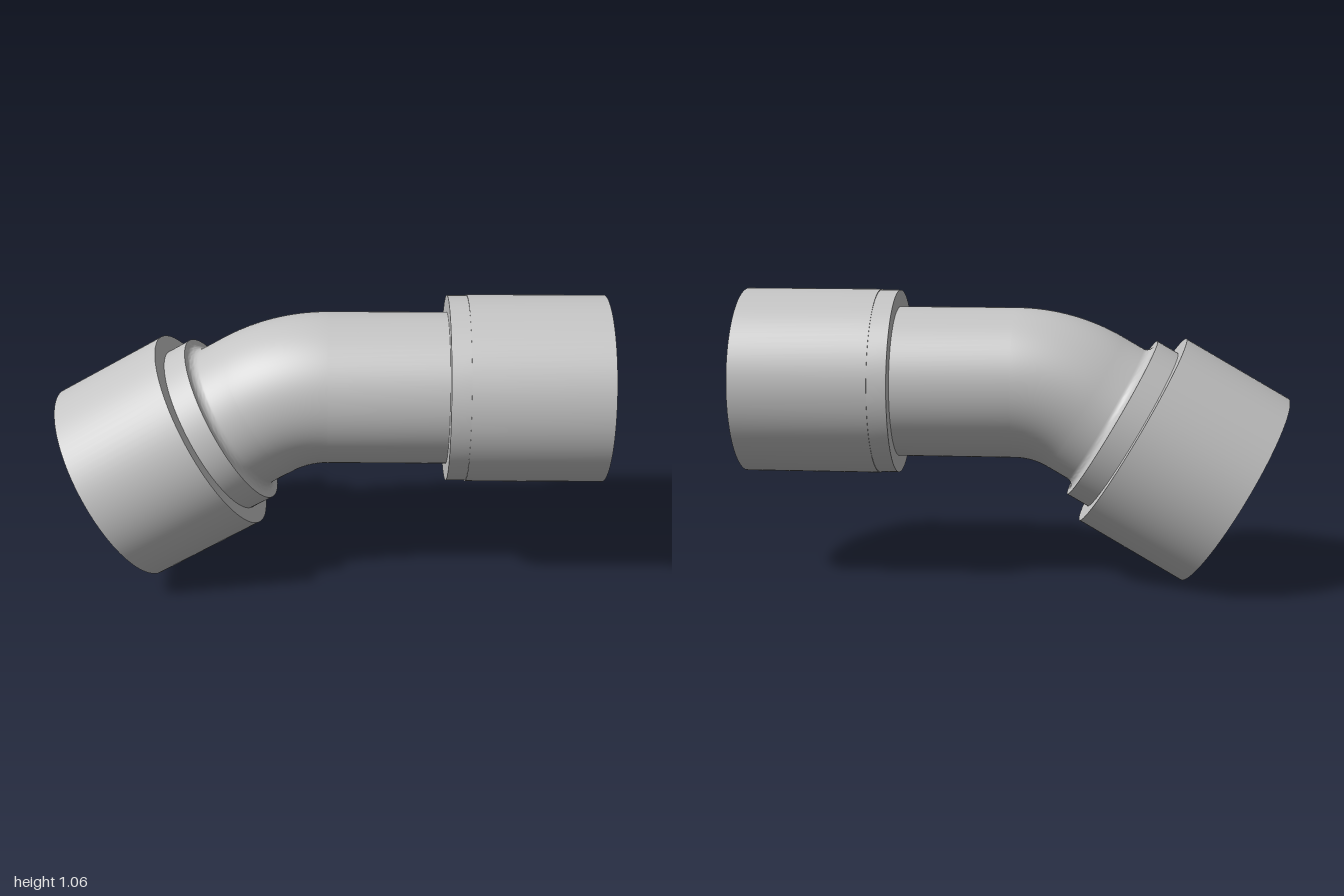
import * as THREE from 'three';
import { toCreasedNormals } from 'three/addons/utils/BufferGeometryUtils.js';

const AXIS_Y = 0.724;   // height of the straight pipe's axis
const BEND_R = 0.51;    // centreline radius of the elbow
const BEND = Math.PI / 6;
const PIPE_R = 0.277;
const BORE_R = 0.228;
const SIDES = 96;

export function createModel() {
  const model = new THREE.Group();
  const plastic = new THREE.MeshStandardMaterial({ color: 0xc4c4c4, side: THREE.DoubleSide });
  plastic.name = 'light grey plastic';

  const add = (name, geometry, x, y, turn) => {
    const mesh = new THREE.Mesh(geometry, plastic);
    mesh.name = name;
    mesh.position.set(x, y, 0);
    mesh.rotation.z = turn;
    model.add(mesh);
  };

  // Turned part from [radius, distance along axis] pairs, with sharp edges kept
  const turned = (profile) => toCreasedNormals(
    new THREE.LatheGeometry(profile.map(([r, h]) => new THREE.Vector2(r, h)), SIDES), 0.5);

  // Straight pipe with a grooved end sleeve around the drafted inner tube
  add('straightPipeAndSleeve', turned([
    [PIPE_R, 0], [PIPE_R, 0.43],
    [0.338, 0.43], [0.338, 0.5], [0.341, 0.5], [0.341, 1],
    [0.322, 1], [0.297, 0.5], [0.275, 0.5], [0.26, 1],
    [BORE_R, 1], [BORE_R, 0],
  ]), 0, AXIS_Y, -Math.PI / 2);

  // Elbow: outer skin and bore
  for (const [name, radius] of [['elbow', PIPE_R], ['elbowBore', BORE_R]]) {
    add(name, new THREE.TorusGeometry(BEND_R, radius, SIDES, 24, BEND),
      0, AXIS_Y - BEND_R, Math.PI / 2);
  }

  // Rounded fillet where the pipe meets the socket collar
  const collarEnd = 0.521;
  const f = 0.03;
  const fillet = [];
  for (let i = 0; i <= 8; i++) {
    const a = (i / 8) * Math.PI / 2;
    fillet.push([PIPE_R + f - f * Math.sin(a), collarEnd + f - f * Math.cos(a)]);
  }

  // Wide angled socket with its collar, measured from the open mouth
  const length = 0.636;
  const endX = -BEND_R * Math.sin(BEND);
  const endY = AXIS_Y - BEND_R * (1 - Math.cos(BEND));
  add('angledSocketAndCollar', turned([
    [BORE_R, length], [BORE_R, 0.4], [0.36, 0.4], [0.375, 0],
    [0.389, 0], [0.388, 0.434],
    [0.327, 0.434], [0.327, collarEnd], ...fillet, [PIPE_R, length],
  ]), endX - length * Math.cos(BEND), endY - length * Math.sin(BEND), BEND - Math.PI / 2);

  return model;
}
